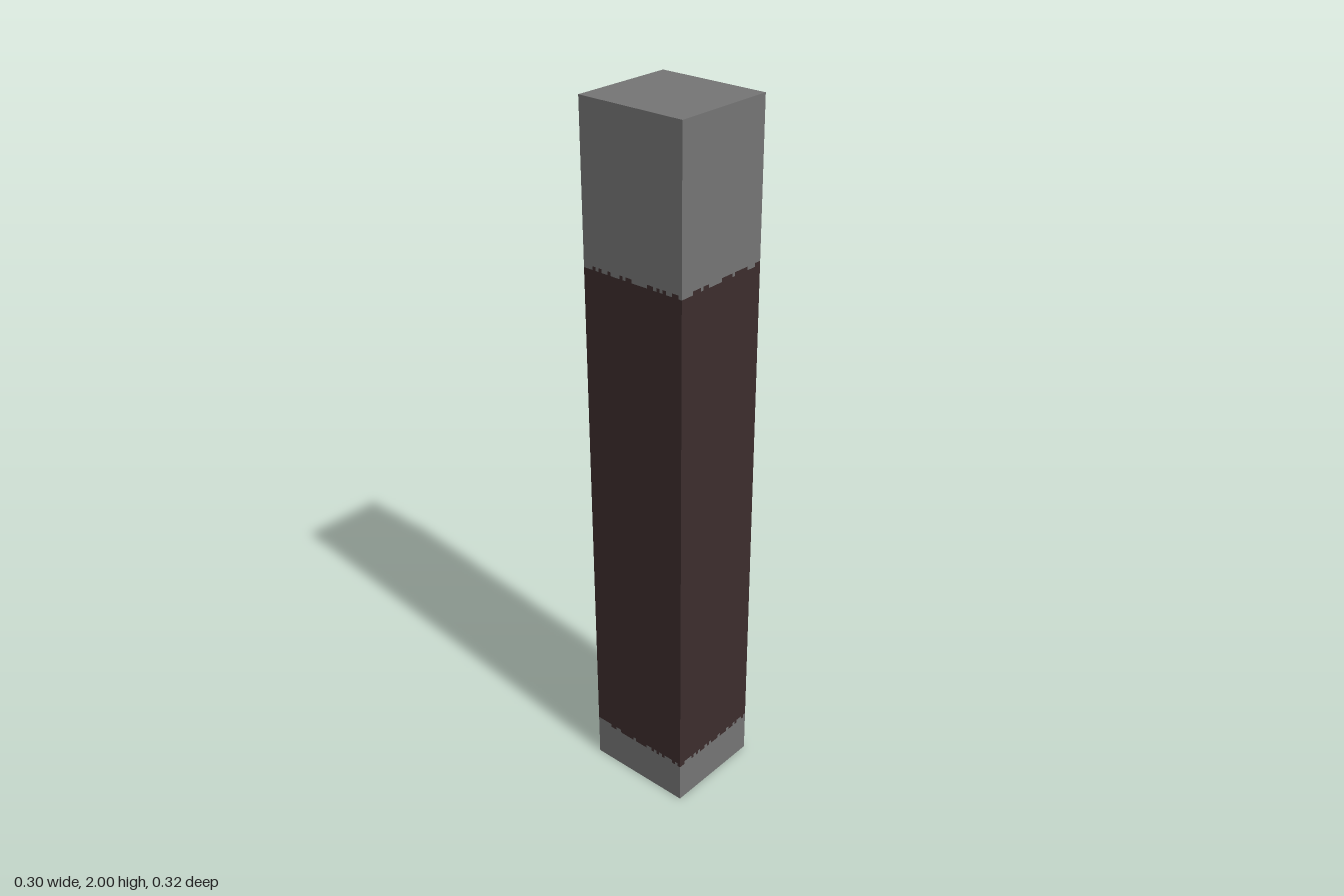
import * as THREE from 'three';
import { mergeGeometries } from 'three/addons/utils/BufferGeometryUtils.js';

const HX = 0.15, HZ = 0.16, CELL = 0.02;

// Radius of the broken corner at each height
const CAVITY = [[0.36, 0.175], [0.41, 0.2], [0.47, 0.22], [0.55, 0.24], [0.62, 0.26], [0.85, 0.26],
  [0.93, 0.235], [1.0, 0.21], [1.09, 0.17], [1.18, 0.11], [1.28, 0.05]];

function cavityRadius(y) {
  for (let i = 1; i < CAVITY.length; i++) {
    const [y0, r0] = CAVITY[i - 1], [y1, r1] = CAVITY[i];
    if (y <= y1) return r0 + (r1 - r0) * (y - y0) / (y1 - y0);
  }
  return 0;
}

function makeRandom(seed) {
  return () => (seed = (seed * 16807) % 2147483647) / 2147483647;
}

function box(x0, x1, y0, y1, z0, z1) {
  return new THREE.BoxGeometry(x1 - x0, y1 - y0, z1 - z0)
    .translate((x0 + x1) / 2, (y0 + y1) / 2, (z0 + z1) / 2);
}

// One storey of the shaft with a stepped bite out of its back left corner
function bittenLayer(y) {
  const r = cavityRadius(y + CELL / 2);
  const shape = new THREE.Shape();
  shape.moveTo(-HX, -HZ);
  shape.lineTo(HX, -HZ);
  let last = 0;
  for (let j = 15; j >= 0; j--) {
    const v = (j + 0.5) * CELL;
    const cut = v < r ? Math.round(Math.sqrt(r * r - v * v) / CELL) * CELL : 0;
    if (cut === last) continue;
    const edge = HZ - (j + 1) * CELL;
    shape.lineTo(HX - last, edge);
    shape.lineTo(HX - cut, edge);
    last = cut;
  }
  shape.lineTo(HX - last, HZ);
  shape.lineTo(-HX, HZ);
  return new THREE.ExtrudeGeometry(shape, { depth: CELL, bevelEnabled: false })
    .rotateX(-Math.PI / 2).translate(0, y, 0);
}

export function createModel() {
  const model = new THREE.Group();
  const material = (name, color) => Object.assign(new THREE.MeshStandardMaterial({ color }), { name });
  const concrete = material('concrete', 0x757575);
  const paint = material('dark brown', 0x3c2d2d);
  const rubbleGrey = material('light concrete', 0xa2a2a2);
  const red = material('red', 0xb02222);
  const random = makeRandom(77);

  function add(name, mat, ...geometries) {
    const mesh = new THREE.Mesh(geometries.length > 1 ? mergeGeometries(geometries) : geometries[0], mat);
    mesh.name = name;
    model.add(mesh);
  }

  // Concrete ends and plain parts of the shaft
  add('base', concrete, box(-HX, HX, 0, 0.12, -HZ, HZ));
  add('cap', concrete, box(-HX, HX, 1.58, 2, -HZ, HZ));
  add('lowerShaft', paint, box(-HX, HX, 0.13, 0.36, -HZ, HZ));
  add('upperShaft', paint, box(-HX, HX, 1.28, 1.57, -HZ, HZ));

  // Ragged paint edges, one ring of small blocks each
  for (const y of [0.12, 1.57]) {
    const grey = [], brown = [];
    for (let i = 0; i < 30; i++) for (let j = 0; j < 32; j++) {
      if (i > 0 && i < 29 && j > 0 && j < 31) continue;
      const x = -HX + i * 0.01, z = -HZ + j * 0.01;
      (random() < 0.5 ? grey : brown).push(box(x, x + 0.01, y, y + 0.01, z, z + 0.01));
    }
    add('raggedEdgeConcrete', concrete, ...grey);
    add('raggedEdgePaint', paint, ...brown);
  }

  // Broken shaft
  const layers = [];
  for (let k = 0; k < 46; k++) layers.push(bittenLayer(0.36 + k * CELL));
  add('brokenShaft', paint, ...layers);

  // Exposed concrete inside the break
  add('innerSlab', concrete, box(0.07, 0.09, 0.36, 0.68, -0.035, 0.1));
  add('outerPost', rubbleGrey,
    box(0.12, 0.15, 0.36, 0.78, -0.06, -0.035),
    box(0.12, 0.145, 0.36, 0.76, -0.08, -0.06));
  add('innerPost', rubbleGrey,
    box(-0.03, 0, 0.36, 0.73, -0.08, -0.04));
  add('brokenLedge', concrete, box(-0.11, -0.04, 0.87, 0.9, -0.16, -0.1));

  // Rubble on the floor of the break
  const rubble = [];
  for (let i = 0; i < 9; i++) for (let j = 0; j < 9; j++) {
    const u = i * CELL, v = j * CELL;
    if (Math.hypot(u + 0.01, v + 0.01) > 0.185) continue;
    const height = 0.015 + (v < 0.08 && i > 1 ? Math.floor(random() * 4) * 0.017 : 0);
    rubble.push(box(HX - u - CELL, HX - u, 0.36, 0.36 + height, -HZ + v, -HZ + v + CELL));
  }
  add('rubble', rubbleGrey, ...rubble);

  // Bent bar hanging from the ledge, in steps
  const bar = [];
  const path = [[-0.085, 0.85], [-0.085, 0.82], [-0.085, 0.79], [-0.08, 0.76], [-0.075, 0.73],
    [-0.07, 0.7], [-0.06, 0.67], [-0.045, 0.64], [-0.03, 0.615], [-0.015, 0.6], [0, 0.59]];
  for (const [x, y] of path) bar.push(box(x - 0.01, x + 0.01, y - 0.005, y + 0.03, -0.16, -0.14));
  add('bentBar', red, ...bar);

  return model;
}
